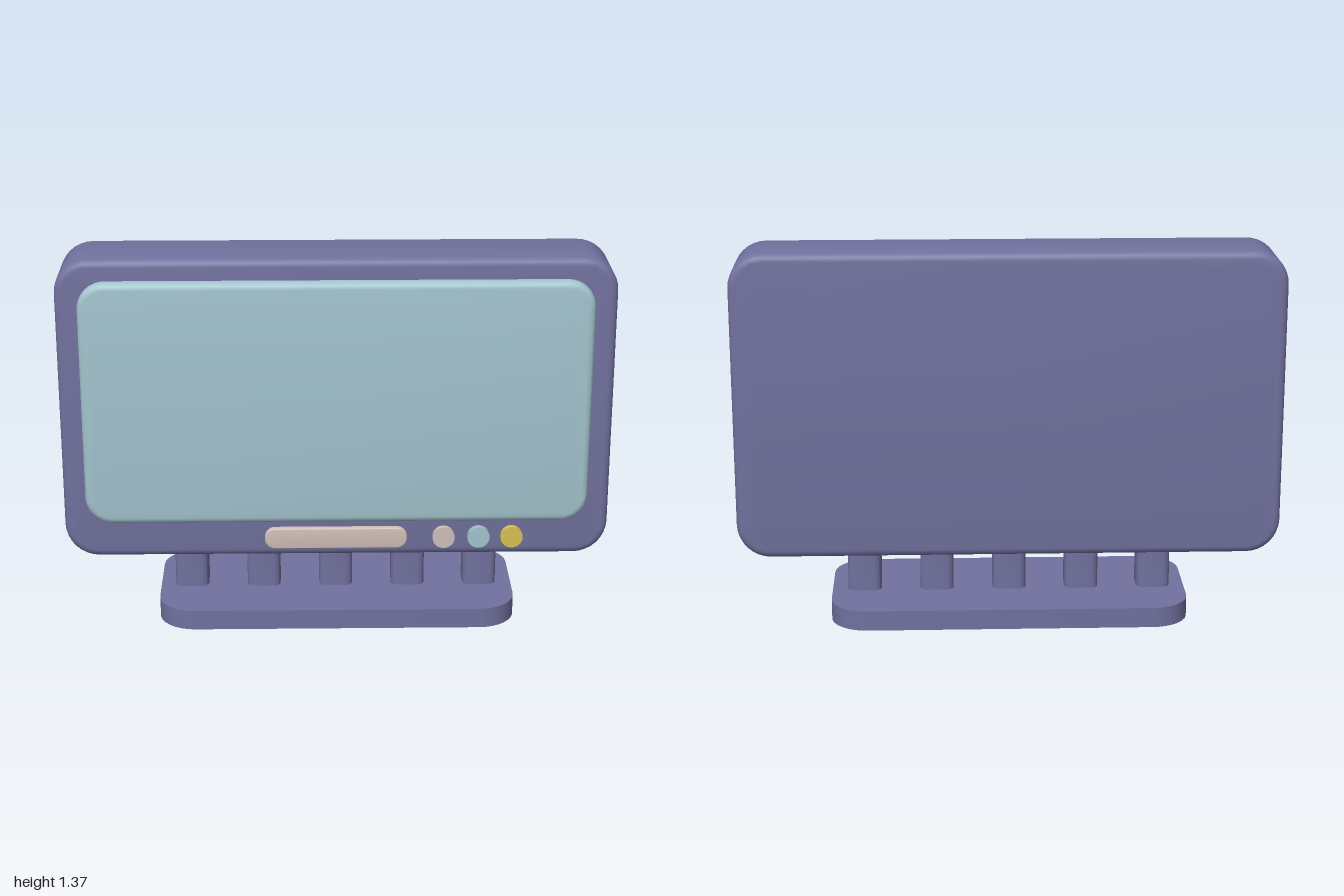
import * as THREE from 'three';
import { toCreasedNormals } from 'three/addons/utils/BufferGeometryUtils.js';

const paint = (name, color) => {
  const m = new THREE.MeshStandardMaterial({ color });
  m.name = name;
  return m;
};

// Rounded slab centred on the origin, with its thickness along z
function slab(w, h, d, radius, bevel = 0, segments = 4) {
  const x = w / 2 - bevel, y = h / 2 - bevel, r = radius - bevel;
  const s = new THREE.Shape();
  s.absarc(x - r, y - r, r, 0, Math.PI / 2);
  s.absarc(-x + r, y - r, r, Math.PI / 2, Math.PI);
  s.absarc(-x + r, -y + r, r, Math.PI, Math.PI * 1.5);
  s.absarc(x - r, -y + r, r, Math.PI * 1.5, Math.PI * 2);
  const g = new THREE.ExtrudeGeometry(s, {
    depth: d - 2 * bevel, curveSegments: segments, bevelEnabled: bevel > 0,
    bevelThickness: bevel, bevelSize: bevel, bevelSegments: 3,
  });
  g.translate(0, 0, bevel - d / 2);
  return toCreasedNormals(g, 0.7);
}

export function createModel() {
  const model = new THREE.Group();
  model.name = 'displayMonitor';
  const purple = paint('casePurple', 0x7272a0);
  const blue = paint('screenBlue', 0xa3c4ce);
  const beige = paint('panelBeige', 0xcfbfb8);
  const yellow = paint('buttonYellow', 0xd8c054);

  const add = (name, geometry, material, x, y, z) => {
    const mesh = new THREE.Mesh(geometry, material);
    mesh.name = name;
    mesh.position.set(x, y, z);
    model.add(mesh);
    return mesh;
  };

  // Case and raised screen
  add('case', slab(2, 1.136, 0.284, 0.125, 0.025), purple, 0, 0.803, 0);
  add('screen', slab(1.836, 0.916, 0.08, 0.1, 0.022), blue, 0, 0.838, 0.14);

  // Control strip and round buttons
  add('controlStrip', slab(0.524, 0.08, 0.06, 0.038, 0.004, 6), beige, -0.003, 0.311, 0.133);
  [[0.394, beige], [0.523, blue], [0.645, yellow]].forEach(([x, material], i) => {
    const button = new THREE.CylinderGeometry(0.041, 0.041, 0.06, 24).rotateX(Math.PI / 2);
    add('button' + (i + 1), button, material, x, 0.311, 0.133);
  });

  // Row of support posts
  const post = slab(0.124, 0.124, 0.22, 0.028).rotateX(-Math.PI / 2);
  for (let i = -2; i <= 2; i++) add('post' + (i + 3), post, purple, i * 0.27 - 0.002, 0.16, 0);

  // Foot plate
  const foot = slab(1.316, 0.552, 0.075, 0.135).rotateX(-Math.PI / 2);
  add('footPlate', foot, purple, 0, 0.0375, 0);
  return model;
}
